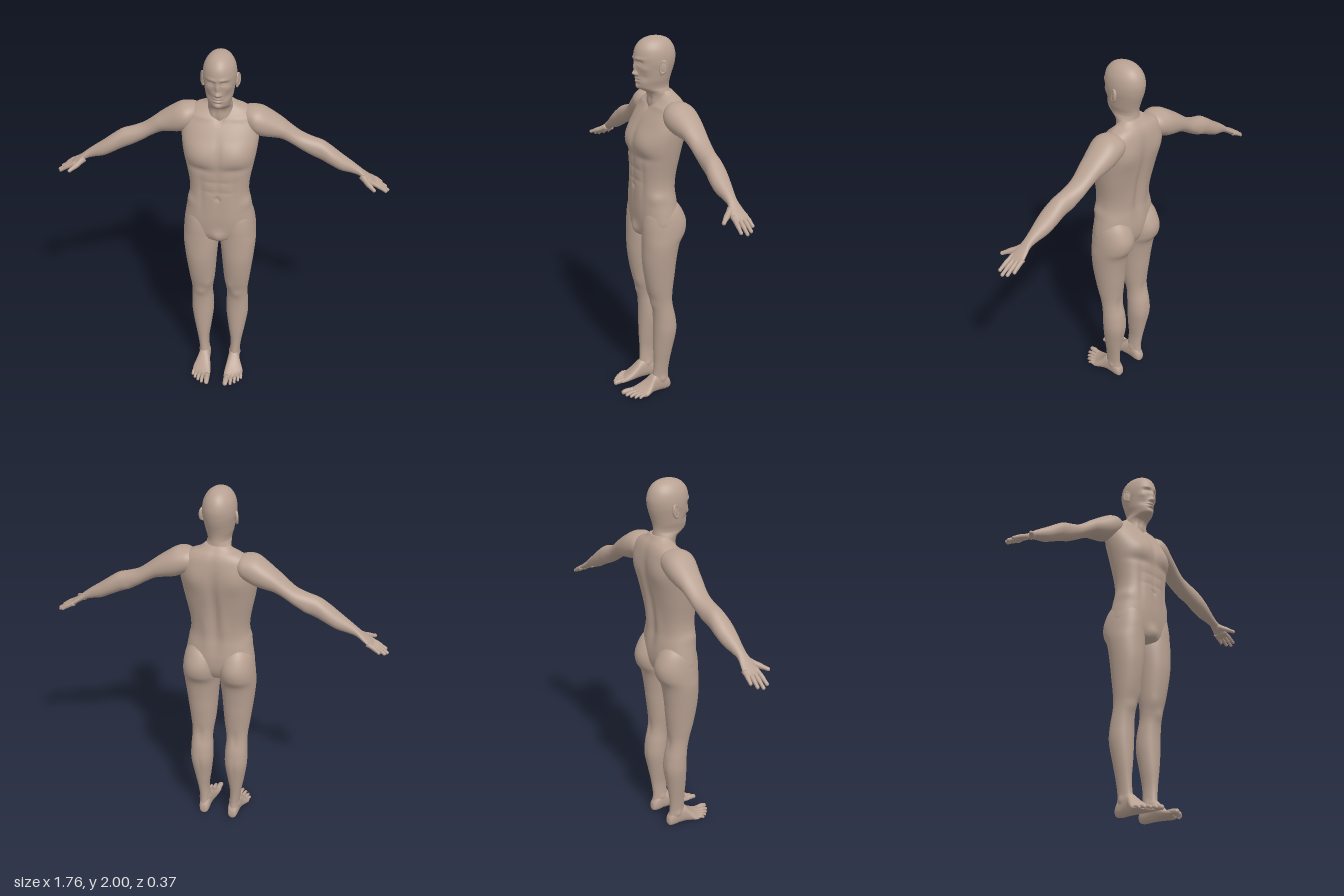
import * as THREE from 'three';

const skin = new THREE.MeshStandardMaterial({ color: 0xb8a192 });
skin.name = 'skin';

// Joins closed rings of points into a capped smooth surface; side -1 mirrors it in x.
function skinRings(rings, side = 1, bumps = []) {
  const n = rings[0].length, pos = [], idx = [];
  const tri = (a, b, c) => (side > 0 ? idx.push(a, b, c) : idx.push(a, c, b));
  rings.forEach(r => r.forEach(p => pos.push(p.x * side, p.y, p.z)));
  for (let i = 0; i < rings.length - 1; i++) {
    for (let j = 0; j < n; j++) {
      const k = (j + 1) % n, a = i * n, b = a + n;
      tri(a + j, a + k, b + j);
      tri(a + k, b + k, b + j);
    }
  }
  [0, rings.length - 1].forEach((row, end) => {
    const c = new THREE.Vector3();
    rings[row].forEach(p => c.addScaledVector(p, 1 / n));
    const m = pos.length / 3;
    pos.push(c.x * side, c.y, c.z);
    for (let j = 0; j < n; j++) {
      const a = row * n + j, b = row * n + (j + 1) % n;
      end ? tri(m, a, b) : tri(m, b, a);
    }
  });
  const geo = new THREE.BufferGeometry();
  geo.setAttribute('position', new THREE.Float32BufferAttribute(pos, 3));
  geo.setIndex(idx);
  geo.computeVertexNormals();
  if (bumps.length) sculpt(geo, bumps);
  return geo;
}

// Pushes the surface in or out with soft bumps [x, y, z, rx, ry, rz, height], same on both sides.
function sculpt(geo, bumps) {
  const p = geo.attributes.position, nor = geo.attributes.normal;
  for (let i = 0; i < p.count; i++) {
    let d = 0;
    for (const [x, y, z, rx, ry, rz, h] of bumps) {
      const q = ((Math.abs(p.getX(i)) - x) / rx) ** 2 + ((p.getY(i) - y) / ry) ** 2 + ((p.getZ(i) - z) / rz) ** 2;
      d += h * Math.exp(-q);
    }
    p.setXYZ(i, p.getX(i) + nor.getX(i) * d, p.getY(i) + nor.getY(i) * d, p.getZ(i) + nor.getZ(i) * d);
  }
  geo.computeVertexNormals();
}

// Rounded cross-sections along an axis: rows of [t, a0, a1, b0, b1], splined between rows.
// Axis y takes (a, b) = (x, z) with y falling; axis x takes (y, z); axis z takes (x, y).
function loft(axis, rows, { n = 40, steps = 5, power = 2, side = 1, bumps = [], warp = p => p } = {}) {
  const at = i => rows[Math.max(0, Math.min(rows.length - 1, i))];
  const rings = [];
  for (let i = 0; i < (rows.length - 1) * steps + 1; i++) {
    const s = Math.floor(i / steps), f = i / steps - s;
    const [t, a0, a1, b0, b1] = at(s).map((p1, k) => {
      const p0 = at(s - 1)[k], p2 = at(s + 1)[k], p3 = at(s + 2)[k];
      const m1 = (p2 - p0) / 2, m2 = (p3 - p1) / 2, d = p2 - p1;
      return p1 + f * (m1 + f * (3 * d - 2 * m1 - m2 + f * (m1 + m2 - 2 * d)));
    });
    const ring = [];
    for (let j = 0; j < n; j++) {
      const g = j / n * Math.PI * 2, c = Math.cos(g), q = Math.sin(g);
      const a = (a0 + a1) / 2 + (a1 - a0) / 2 * Math.sign(c) * Math.abs(c) ** (2 / power);
      const b = (b0 + b1) / 2 + (b1 - b0) / 2 * Math.sign(q) * Math.abs(q) ** (2 / power);
      const p = axis === 'y' ? [a, t, b] : axis === 'x' ? [t, a, b] : [a, b, t];
      ring.push(warp(new THREE.Vector3(...p)));
    }
    rings.push(ring);
  }
  return skinRings(rings, side, bumps);
}

// Finger or toe: round tapered rod through points, with a rounded tip.
function digit(points, r0, r1, side) {
  const pts = points.map(p => new THREE.Vector3(...p));
  const curve = new THREE.CatmullRomCurve3(pts);
  const dir = pts[pts.length - 1].clone().sub(pts[0]), len = dir.length();
  dir.normalize();
  const u = new THREE.Vector3(0, 1, 0).addScaledVector(dir, -dir.y).normalize();
  const v = dir.clone().cross(u), rings = [], start = 1 - r1 / len;
  for (let i = 0; i <= 18; i++) {
    const t = i < 8 ? start * i / 8 : start + (1 - start) * Math.sin((i - 8) / 10 * Math.PI / 2);
    const cap = t > start ? Math.sqrt(Math.max(0.0004, 1 - ((t - start) / (1 - start)) ** 2)) : 1;
    const r = (r0 + (r1 - r0) * t) * cap * (1 + 0.06 * Math.cos(t * 12)), c = curve.getPoint(t);
    rings.push(Array.from({ length: 14 }, (_, j) => {
      const g = j / 14 * Math.PI * 2;
      return c.clone().addScaledVector(u, r * Math.cos(g)).addScaledVector(v, r * Math.sin(g));
    }));
  }
  return skinRings(rings, side);
}

// Symmetric rows [y, half width, back z, front z] to loft rows.
const centred = rows => rows.map(([y, w, b, f]) => [y, -w, w, b, f]);

export function createModel() {
  const model = new THREE.Group();
  model.name = 'figure';
  const add = (name, geo, parent = model) => {
    const mesh = new THREE.Mesh(geo, skin);
    mesh.name = name;
    parent.add(mesh);
    return mesh;
  };

  // Head and neck with a sculpted face
  add('headAndNeck', loft('y', centred([
    [2.0, 0.004, -0.044, -0.036], [1.996, 0.025, -0.075, -0.005], [1.985, 0.045, -0.105, 0.025],
    [1.967, 0.062, -0.126, 0.048], [1.94, 0.076, -0.142, 0.065], [1.905, 0.083, -0.15, 0.072],
    [1.87, 0.083, -0.147, 0.07], [1.84, 0.078, -0.14, 0.066], [1.81, 0.073, -0.13, 0.064],
    [1.783, 0.068, -0.122, 0.063], [1.76, 0.061, -0.118, 0.06], [1.743, 0.058, -0.118, 0.052],
    [1.73, 0.06, -0.119, 0.03], [1.715, 0.063, -0.121, 0.004], [1.69, 0.066, -0.13, -0.008],
    [1.65, 0.074, -0.14, -0.008], [1.6, 0.08, -0.14, -0.015],
  ]), { n: 112, steps: 8, bumps: [
    [0, 1.85, 0.07, 0.009, 0.026, 0.05, 0.011], [0, 1.82, 0.07, 0.011, 0.012, 0.05, 0.019],      // nose
    [0.013, 1.816, 0.066, 0.007, 0.007, 0.04, 0.007],
    [0.032, 1.876, 0.06, 0.016, 0.011, 0.05, -0.010], [0.032, 1.874, 0.06, 0.009, 0.005, 0.05, 0.005], // eyes
    [0.028, 1.895, 0.065, 0.026, 0.008, 0.05, 0.005],                                            // brow
    [0.052, 1.845, 0.045, 0.018, 0.015, 0.04, 0.004], [0.046, 1.8, 0.04, 0.02, 0.02, 0.04, -0.005], // cheeks
    [0, 1.794, 0.065, 0.018, 0.005, 0.04, 0.006], [0, 1.787, 0.065, 0.024, 0.003, 0.04, -0.005], // lips
    [0, 1.779, 0.065, 0.015, 0.005, 0.04, 0.006], [0, 1.767, 0.065, 0.018, 0.006, 0.04, -0.005],
    [0, 1.75, 0.06, 0.018, 0.012, 0.04, 0.006],                                                  // chin
    [0.035, 1.68, -0.03, 0.012, 0.05, 0.05, 0.004], [0, 1.68, -0.01, 0.012, 0.03, 0.05, 0.004],  // throat
  ] }));

  // Torso from shoulders to pelvis
  add('torso', loft('y', centred([
    [1.725, 0.062, -0.125, -0.05], [1.705, 0.088, -0.142, -0.045], [1.685, 0.135, -0.158, -0.035],
    [1.655, 0.175, -0.17, -0.012], [1.61, 0.192, -0.177, 0.02], [1.56, 0.198, -0.178, 0.05],
    [1.51, 0.195, -0.174, 0.074], [1.45, 0.186, -0.164, 0.086], [1.39, 0.175, -0.152, 0.082],
    [1.33, 0.163, -0.141, 0.08], [1.27, 0.155, -0.133, 0.08], [1.21, 0.157, -0.13, 0.081],
    [1.15, 0.17, -0.137, 0.081], [1.09, 0.181, -0.143, 0.08], [1.03, 0.187, -0.14, 0.075],
    [0.985, 0.165, -0.125, 0.068], [0.955, 0.11, -0.1, 0.055], [0.94, 0.04, -0.05, 0.02],
  ]), { n: 96, steps: 6, power: 2.3, bumps: [
    [0.09, 1.47, 0.09, 0.075, 0.055, 0.1, 0.012], [0, 1.49, 0.09, 0.014, 0.08, 0.1, -0.007],     // chest
    [0.09, 1.395, 0.08, 0.07, 0.02, 0.08, -0.006], [0.1, 1.65, 0, 0.07, 0.012, 0.06, 0.005],
    [0, 1.645, 0, 0.018, 0.018, 0.05, -0.008],
    [0, 1.29, 0.08, 0.01, 0.12, 0.06, -0.005], [0.085, 1.26, 0.07, 0.016, 0.12, 0.06, -0.005],   // abdomen
    [0.035, 1.325, 0.08, 0.04, 0.007, 0.06, -0.004], [0.035, 1.265, 0.08, 0.04, 0.007, 0.06, -0.004],
    [0, 1.225, 0.08, 0.008, 0.01, 0.05, -0.011], [0.15, 1.185, 0.02, 0.03, 0.03, 0.07, 0.007],
    [0, 1.4, -0.15, 0.022, 0.2, 0.08, -0.017], [0.1, 1.56, -0.17, 0.055, 0.07, 0.08, 0.010],     // back
    [0.05, 1.25, -0.13, 0.025, 0.1, 0.06, 0.006], [0, 0.985, 0.075, 0.032, 0.035, 0.06, 0.017],
  ] }));

  for (const [sideName, s] of [['left', 1], ['right', -1]]) {
    // Arm, shoulder to palm
    const arm = new THREE.Group();
    arm.name = sideName + 'Arm';
    model.add(arm);
    add('armAndPalm', loft('x', [
      [0.09, 1.62, 1.66, -0.13, -0.07], [0.13, 1.575, 1.686, -0.165, -0.03], [0.17, 1.55, 1.692, -0.175, -0.008],
      [0.21, 1.533, 1.685, -0.178, -0.01], [0.26, 1.525, 1.655, -0.175, -0.026], [0.31, 1.515, 1.62, -0.168, -0.044],
      [0.36, 1.489, 1.58, -0.163, -0.054], [0.41, 1.457, 1.546, -0.16, -0.058], [0.465, 1.427, 1.525, -0.153, -0.058],
      [0.52, 1.402, 1.508, -0.15, -0.056], [0.57, 1.377, 1.475, -0.15, -0.05], [0.62, 1.352, 1.438, -0.143, -0.053],
      [0.675, 1.338, 1.4, -0.13, -0.066], [0.715, 1.325, 1.37, -0.124, -0.071], [0.75, 1.305, 1.34, -0.132, -0.063],
      [0.78, 1.287, 1.317, -0.14, -0.057], [0.8, 1.277, 1.301, -0.139, -0.058], [0.81, 1.277, 1.29, -0.13, -0.066],
    ], { n: 44, power: 2.1, side: s, bumps: [
      [0.33, 1.58, -0.05, 0.05, 0.03, 0.05, 0.003], [0.46, 1.44, -0.15, 0.025, 0.025, 0.03, 0.004],
    ] }), arm);

    // Fingers as [base z, tip x, tip y, tip z], and the thumb
    [[-0.067, 0.868, 1.25, -0.062], [-0.088, 0.879, 1.243, -0.09], [-0.109, 0.868, 1.249, -0.116],
      [-0.129, 0.843, 1.262, -0.138]].forEach(([z, x, y, tz]) =>
      add('finger', digit([[0.775, 1.302, z], [(0.775 + x) / 2, (1.302 + y) / 2 + 0.003, (z + tz) / 2], [x, y, tz]],
        0.0125, 0.0085, s), arm));
    add('thumb', digit([[0.735, 1.325, -0.08], [0.768, 1.303, -0.038], [0.803, 1.285, -0.001]], 0.018, 0.009, s), arm);

    // Leg with buttock, thigh, knee and calf
    const leg = new THREE.Group();
    leg.name = sideName + 'Leg';
    model.add(leg);
    add('thighAndCalf', loft('y', [
      [1.15, 0.05, 0.15, -0.11, 0.03], [1.1, 0.014, 0.177, -0.147, 0.06], [1.035, 0.004, 0.19, -0.172, 0.07],
      [0.975, 0.003, 0.195, -0.165, 0.071], [0.915, 0.004, 0.196, -0.132, 0.071], [0.82, 0.013, 0.187, -0.116, 0.07],
      [0.73, 0.02, 0.176, -0.108, 0.059], [0.65, 0.027, 0.166, -0.1, 0.043], [0.585, 0.037, 0.158, -0.097, 0.024],
      [0.53, 0.041, 0.157, -0.104, 0.012], [0.465, 0.037, 0.16, -0.118, 0.006], [0.385, 0.037, 0.16, -0.124, 0.005],
      [0.28, 0.05, 0.144, -0.106, 0.005], [0.185, 0.063, 0.127, -0.09, 0.002], [0.11, 0.061, 0.118, -0.084, 0.006],
      [0.06, 0.058, 0.117, -0.09, 0.02], [0.02, 0.06, 0.113, -0.09, 0.02],
    ], { n: 56, steps: 6, power: 2.1, side: s, bumps: [
      [0.1, 0.56, 0.02, 0.028, 0.03, 0.04, 0.006], [0.06, 0.62, 0.03, 0.025, 0.04, 0.04, 0.005],
      [0.098, 0.56, -0.1, 0.02, 0.05, 0.03, -0.006], [0.098, 0.38, -0.12, 0.01, 0.06, 0.03, -0.003],
      [0.06, 0.09, -0.035, 0.012, 0.016, 0.016, 0.006], [0.118, 0.08, -0.045, 0.012, 0.016, 0.016, 0.006],
    ] }), leg);

    // Foot, slanted back toward the outer toes
    add('foot', loft('z', [
      [-0.1, 0.078, 0.094, 0.02, 0.035], [-0.094, 0.064, 0.107, 0.006, 0.06], [-0.07, 0.056, 0.115, 0, 0.092],
      [-0.03, 0.055, 0.118, 0, 0.115], [0.01, 0.052, 0.124, 0, 0.106], [0.045, 0.046, 0.134, 0, 0.078],
      [0.08, 0.041, 0.143, 0, 0.054], [0.11, 0.04, 0.147, 0, 0.038], [0.135, 0.042, 0.145, 0.002, 0.027],
      [0.145, 0.05, 0.138, 0.008, 0.018],
    ], { n: 44, power: 2.3, side: s, warp: p => {
      p.z -= 0.55 * (p.x - 0.05) * Math.min(1, Math.max(0, p.z / 0.12));
      return p;
    } }), leg);

    // Toes as [x, base z, tip x, tip z, radius]
    [[0.058, 0.115, 0.054, 0.185, 0.0155], [0.083, 0.105, 0.084, 0.174, 0.0105], [0.103, 0.095, 0.107, 0.157, 0.01],
      [0.121, 0.083, 0.127, 0.138, 0.0095], [0.136, 0.07, 0.143, 0.115, 0.009]].forEach(([x, z, tx, tz, r]) =>
      add('toe', digit([[x, 0.02, z], [(x + tx) / 2, 0.02, (z + tz) / 2], [tx, r * 0.95, tz]], r, r * 0.9, s), leg));

    // Ear: hollow shell with a rim
    const ear = new THREE.Group();
    ear.name = sideName + 'Ear';
    ear.position.set(0.087 * s, 1.855, -0.047);
    ear.rotation.set(-0.12, s * (Math.PI / 2 - 0.4), 0);
    model.add(ear);
    add('earShell', new THREE.SphereGeometry(1, 20, 14).scale(0.02, 0.032, 0.007), ear);
    add('earRim', new THREE.TorusGeometry(0.018, 0.0045, 10, 28).scale(1, 1.6, 1.5), ear);
    add('earLobe', new THREE.SphereGeometry(0.009, 14, 10).scale(1, 1.1, 0.7), ear).position.set(s * -0.006, -0.031, 0);
  }
  return model;
}
